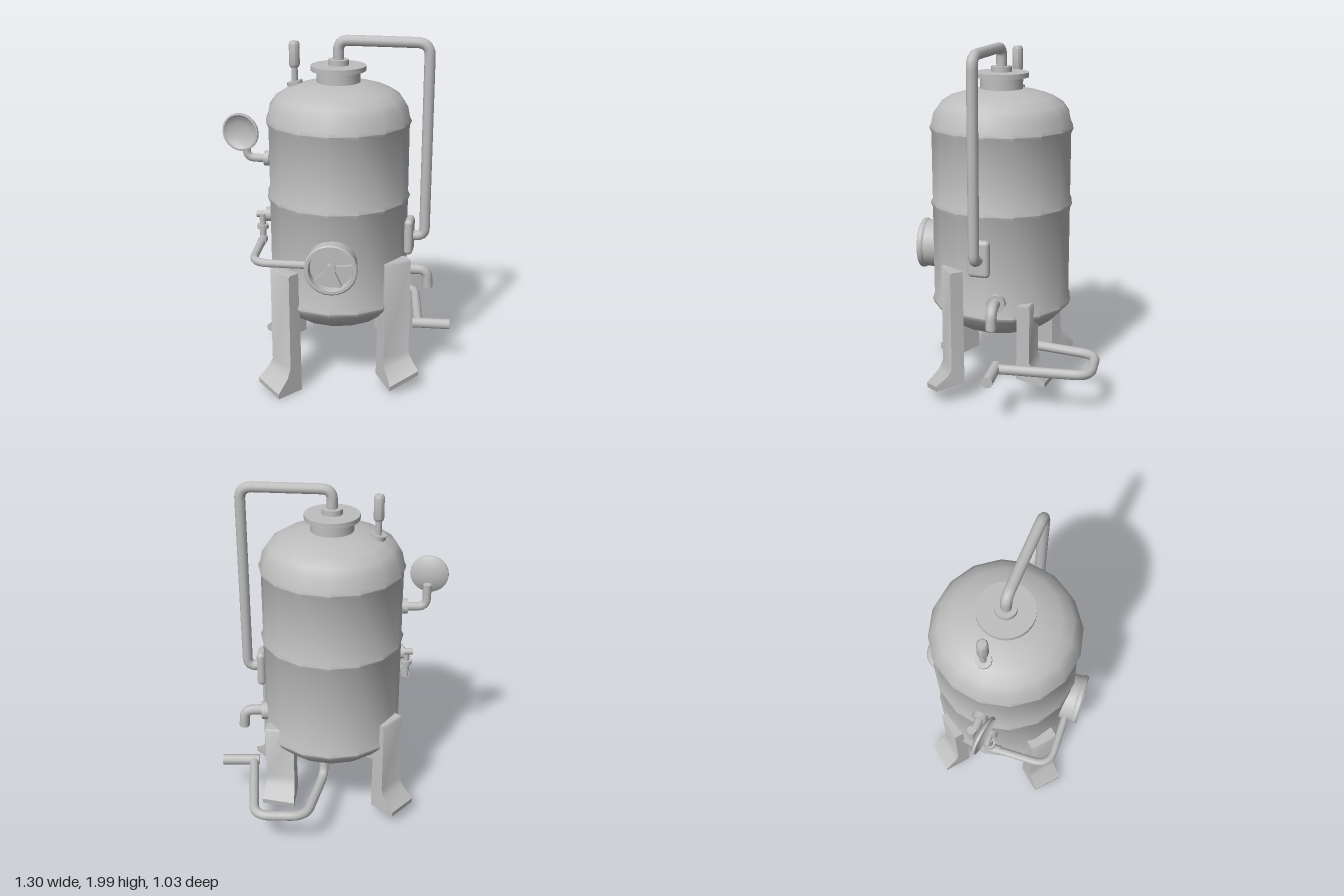
import * as THREE from 'three';
import { toCreasedNormals } from 'three/addons/utils/BufferGeometryUtils.js';
import { RoundedBoxGeometry } from 'three/addons/geometries/RoundedBoxGeometry.js';

const V = (a) => new THREE.Vector3(...a);
const UP = new THREE.Vector3(0, 1, 0);
const CX = -0.012, CZ = 0.012; // tank axis

export function createModel() {
  const model = new THREE.Group();
  const steel = new THREE.MeshStandardMaterial({ color: 0xbebebe });
  steel.name = 'steel grey';

  const add = (name, geo, parent = model) => {
    const m = new THREE.Mesh(geo, steel);
    m.name = name;
    parent.add(m);
    return m;
  };

  const lathe = (pts, sides, crease) => toCreasedNormals(
    new THREE.LatheGeometry(pts.map((p) => new THREE.Vector2(...p)), sides), crease);

  // Cylinder centred at pos with its axis along dir
  const disc = (name, r, h, pos, dir, sides = 12, parent = model) => {
    const m = add(name, new THREE.CylinderGeometry(r, r, h, sides), parent);
    m.position.copy(V(pos));
    m.quaternion.setFromUnitVectors(UP, V(dir).normalize());
    return m;
  };

  // Capped tube along a polyline with rounded corners
  const pipe = (name, points, r, bend = 0.08, segments = 60) => {
    const group = new THREE.Group();
    group.name = name;
    const p = points.map(V);
    const path = new THREE.CurvePath();
    let from = p[0];
    for (let i = 1; i < p.length - 1; i++) {
      const inDir = p[i - 1].clone().sub(p[i]), outDir = p[i + 1].clone().sub(p[i]);
      const d = Math.min(bend, inDir.length() * 0.49, outDir.length() * 0.49);
      const a = p[i].clone().addScaledVector(inDir.normalize(), d);
      const b = p[i].clone().addScaledVector(outDir.normalize(), d);
      path.add(new THREE.LineCurve3(from, a));
      path.add(new THREE.QuadraticBezierCurve3(a, p[i], b));
      from = b;
    }
    const n = p.length - 1;
    path.add(new THREE.LineCurve3(from, p[n]));
    add(name + 'Tube', new THREE.TubeGeometry(path, segments, r, 10, false), group);
    for (const [end, next] of [[p[0], p[1]], [p[n], p[n - 1]]]) {
      const cap = add(name + 'Cap', new THREE.CircleGeometry(r, 10), group);
      cap.position.copy(end);
      cap.quaternion.setFromUnitVectors(new THREE.Vector3(0, 0, 1), end.clone().sub(next).normalize());
    }
    model.add(group);
  };

  // Tank shell with three raised seams and domed ends
  const R = 0.396, bead = (y) => [[R, y - 0.025], [R + 0.012, y], [R, y + 0.025]];
  const tank = add('tank', lathe([
    [0, 0.33], [0.1, 0.335], [0.2, 0.357], [0.28, 0.39], [0.345, 0.44],
    ...bead(0.52), ...bead(1.1), ...bead(1.53),
    [0.385, 1.61], [0.35, 1.66], [0.29, 1.698], [0.2, 1.725], [0.12, 1.74], [0, 1.745],
  ], 16, 0.9));
  tank.position.set(CX, 0, CZ);
  tank.rotation.y = 0.092;

  // Neck, lid and pipe collar on top
  const neck = add('neckAndLid', lathe([
    [0.12, 1.72], [0.12, 1.8], [0.153, 1.803], [0.153, 1.83], [0.058, 1.832],
    [0.058, 1.862], [0, 1.862],
  ], 24, 0.6));
  neck.position.set(CX, 0, CZ);

  // Tall outlet pipe and its wall plate
  pipe('outletPipe', [
    [CX, 1.85, CZ], [CX, 1.966, CZ], [0.452, 1.966, 0.19], [0.452, 0.87, 0.19], [0.36, 0.87, 0.155],
  ], 0.03, 0.07, 120);
  const plate = add('pipePlate', new RoundedBoxGeometry(0.125, 0.21, 0.05, 3, 0.024));
  plate.position.set(0.372, 0.87, 0.16);
  plate.rotation.y = Math.PI / 2 - 0.37;

  // Hatch drum with spoked wheel
  const hatch = new THREE.Group();
  hatch.name = 'hatch';
  hatch.position.set(CX - 0.26 * 0.35, 0.815, CZ + 0.965 * 0.35);
  hatch.rotation.y = -0.265;
  add('hatchDrum', lathe([
    [0.138, -0.04], [0.138, 0.09], [0.145, 0.1], [0.145, 0.12], [0.138, 0.126],
    [0.122, 0.126], [0.117, 0.08], [0, 0.08],
  ], 24, 0.6).rotateX(Math.PI / 2), hatch);
  disc('wheelHub', 0.027, 0.035, [0, 0, 0.097], [0, 0, 1], 12, hatch);
  for (let i = 0; i < 5; i++) {
    const a = Math.PI / 2 - 0.2 + i * Math.PI * 0.4;
    const spoke = add('wheelSpoke', new THREE.BoxGeometry(0.12, 0.022, 0.022), hatch);
    spoke.position.set(Math.cos(a) * 0.06, Math.sin(a) * 0.06, 0.09);
    spoke.rotation.z = a;
  }
  model.add(hatch);

  // Legs: side profile swept across the width, with flared and sloping feet
  const leg = (name, [x, z], [fx, fz], top, bottom, rise, slope) => {
    const s = new THREE.Shape();
    s.moveTo(-0.035, bottom + rise);
    s.lineTo(0.13, bottom);
    s.lineTo(0.133, bottom + 0.03);
    s.lineTo(0.06, bottom + 0.095);
    s.lineTo(0.037, bottom + 0.14);
    s.lineTo(0.037, top - 0.012);
    s.lineTo(0.028, top);
    s.lineTo(-0.035, top);
    const geo = new THREE.ExtrudeGeometry(s, { depth: 0.165, bevelEnabled: false });
    geo.rotateY(-Math.PI / 2).translate(0.0825, 0, 0);
    const pos = geo.attributes.position;
    for (let i = 0; i < pos.count; i++) {
      const k = THREE.MathUtils.clamp((bottom + 0.14 - pos.getY(i)) / 0.1, 0, 1);
      pos.setY(i, pos.getY(i) + k * slope * pos.getX(i));
      pos.setX(i, pos.getX(i) * (1 + 0.12 * k));
    }
    const m = add(name, toCreasedNormals(geo, 0.7));
    m.position.set(x, 0, z);
    m.rotation.y = Math.atan2(fx, fz);
  };
  leg('frontLeftLeg', [0.255, 0.305], [0.29, 0.955], 0.78, 0.066, 0.03, 0.33);
  leg('frontRightLeg', [-0.355, 0.235], [-0.85, 0.52], 0.735, 0.025, 0.0, -0.2);
  leg('backRightLeg', [-0.26, -0.29], [-0.52, -0.85], 0.66, 0.078, 0.0, 0);
  leg('backLeftLeg', [0.335, -0.11], [0.39, -0.92], 0.6, 0.135, 0.03, -0.1);

  // Drain pipe looping out from under the tank
  pipe('drainPipe', [
    [0.075, 0.38, -0.13], [0.085, 0.24, -0.15], [0.29, 0.25, -0.51], [0.57, 0.255, -0.43],
    [0.465, 0.262, 0.06],
  ], 0.028, 0.09, 110);
  pipe('drainEnd', [[0.43, 0.265, 0.07], [0.642, 0.265, 0.132]], 0.031, 0.05, 4);

  // Spout with wall flange
  pipe('spout', [[0.34, 0.62, 0.06], [0.5, 0.62, 0.1], [0.506, 0.51, 0.102]], 0.03, 0.08, 24);
  disc('spoutFlange', 0.052, 0.04, [0.385, 0.615, 0.068], [0.97, 0, 0.22], 16);

  // Side rail from the hatch to the valve
  pipe('sideRail', [
    [-0.22, 0.815, 0.375], [-0.54, 0.815, 0.28], [-0.455, 0.815, -0.02],
  ], 0.022, 0.1, 50);
  const out = [-0.97, 0, -0.22];
  disc('valveFlange', 0.042, 0.03, [-0.405, 0.965, -0.065], out, 16);
  disc('valveStub', 0.019, 0.09, [-0.43, 0.965, -0.07], out);
  disc('valveStem', 0.018, 0.17, [-0.442, 0.885, -0.065], [0, 1, 0]);
  disc('valveCollar', 0.033, 0.025, [-0.442, 0.893, -0.065], [0, 1, 0]);
  disc('valveOutlet', 0.026, 0.07, [-0.448, 0.815, -0.04], [0.27, 0, -0.96]);

  // Gauge on an elbow pipe
  pipe('gaugePipe', [[-0.36, 1.285, -0.1], [-0.515, 1.285, -0.15], [-0.515, 1.42, -0.15]], 0.024, 0.05, 24);
  disc('gaugeFlange', 0.042, 0.03, [-0.402, 1.285, -0.113], [-0.95, 0, -0.3], 16);
  const gauge = add('gaugeDish', lathe([
    [0, -0.025], [0.05, -0.02], [0.09, -0.006], [0.108, 0.006], [0.108, 0.018],
    [0.098, 0.02], [0.085, 0.008], [0.05, -0.004], [0, -0.008],
  ], 24, 0.7).rotateX(Math.PI / 2));
  gauge.position.set(-0.545, 1.453, -0.095);
  gauge.rotation.y = Math.atan2(-0.48, 0.88);

  // Relief valve on the dome
  disc('reliefBase', 0.044, 0.035, [-0.238, 1.712, -0.092], [-0.22, 1, -0.1], 12);
  disc('reliefStem', 0.018, 0.14, [-0.24, 1.76, -0.094], [0, 1, 0], 8);
  const handle = add('reliefHandle', lathe([
    [0, 1.805], [0.022, 1.805], [0.03, 1.82], [0.03, 1.935], [0.022, 1.95], [0, 1.952],
  ], 8, 0.8));
  handle.position.set(-0.24, 0, -0.094);

  return model;
}
